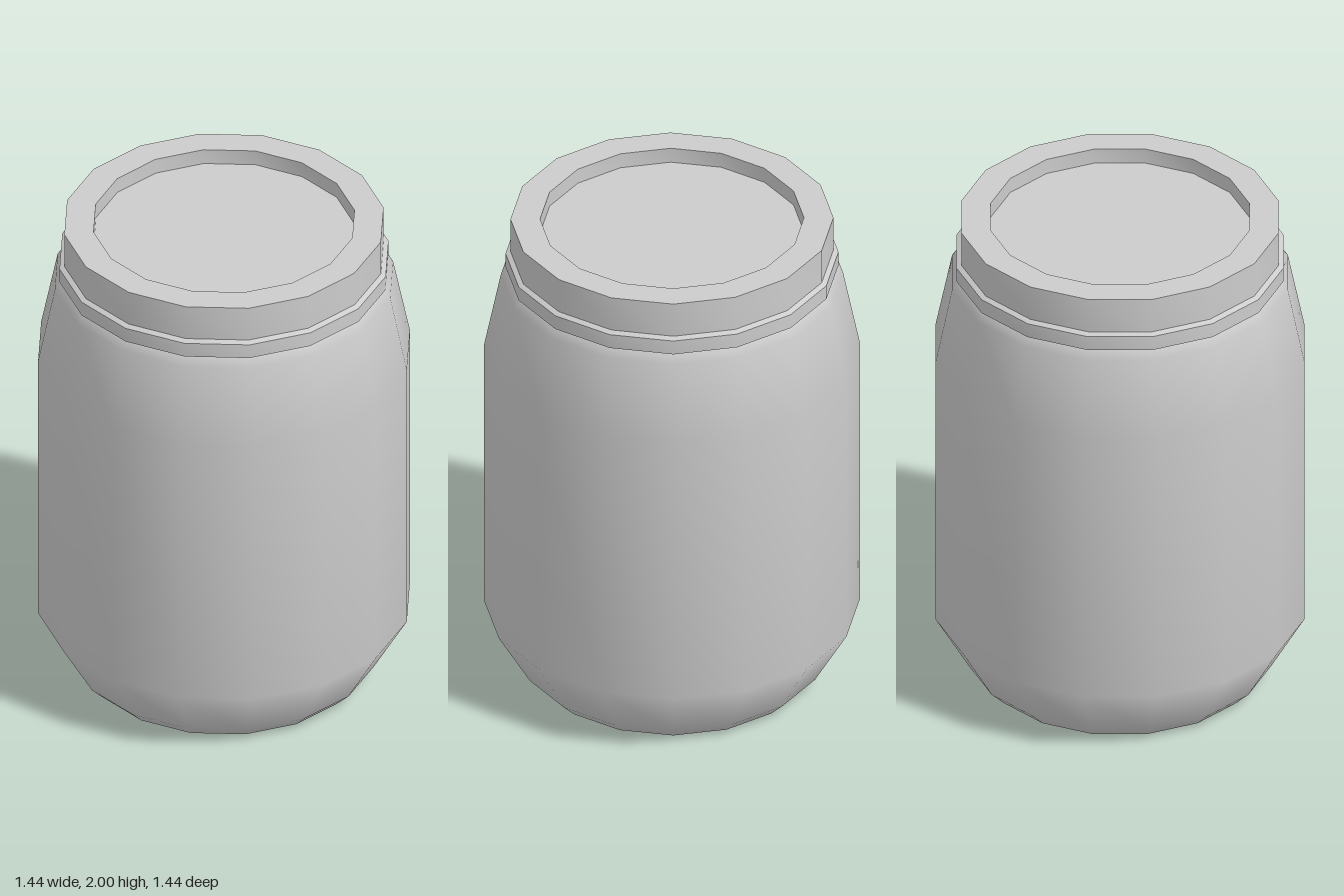
import * as THREE from 'three';
import { toCreasedNormals } from 'three/addons/utils/BufferGeometryUtils.js';

const SIDES = 16;

// Revolve a list of [radius, height] points, listed from the bottom up
function turned(points) {
  return new THREE.LatheGeometry(points.map(([r, y]) => new THREE.Vector2(r, y)), SIDES);
}

export function createModel() {
  const group = new THREE.Group();
  const grey = new THREE.MeshStandardMaterial({ color: 0xcccccc });
  grey.name = 'lightGrey';

  function add(name, geometry) {
    const mesh = new THREE.Mesh(geometry, grey);
    mesh.name = name;
    group.add(mesh);
  }

  // Smooth jar body with a chamfered foot and sloping shoulder
  add('jarBody', turned([
    [0, 0], [0.525, 0], [0.535, 0], [0.59, 0.055], [0.72, 0.28],
    [0.72, 1.43], [0.655, 1.75], [0.62, 1.79],
  ]));

  // Lid with a collar band and a recessed top, edges kept sharp
  add('lid', toCreasedNormals(turned([
    [0.58, 1.785], [0.637, 1.785], [0.637, 1.845], [0.618, 1.855],
    [0.618, 2], [0.505, 2], [0.505, 1.937], [0, 1.937],
  ]), 0.6));

  return group;
}
